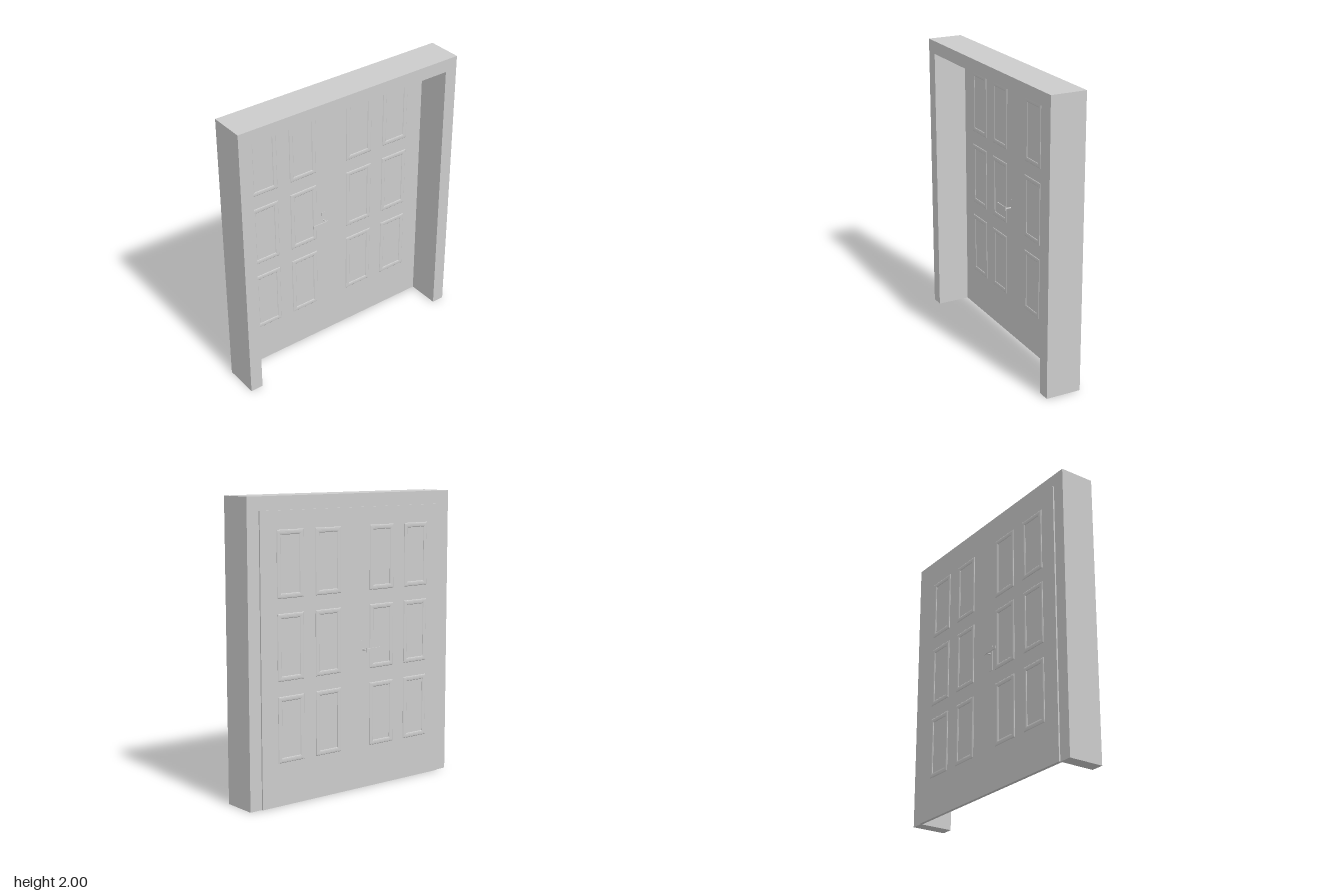
import * as THREE from 'three';

const mat = new THREE.MeshStandardMaterial({ color: 0xcccccc, flatShading: true });
const FRONT = -0.083, BACK = -0.105; // door leaf faces

function add(parent, name, geo, x = 0, y = 0, z = 0) {
  const m = new THREE.Mesh(geo, mat);
  m.name = name;
  m.position.set(x, y, z);
  parent.add(m);
  return m;
}

function rect(Type, w, h) {
  return new Type([[-w, -h], [w, -h], [w, h], [-w, h]].map(([x, y]) => new THREE.Vector2(x / 2, y / 2)));
}

// Raised rectangular moulding with sloped inner and outer edges
function mouldingGeometry(w, h, band, slope, height) {
  const shape = rect(THREE.Shape, w - 2 * slope, h - 2 * slope);
  const inset = 2 * (band - slope);
  shape.holes.push(rect(THREE.Path, w - inset, h - inset));
  return new THREE.ExtrudeGeometry(shape, {
    depth: 0.001, bevelEnabled: true, bevelSize: slope, bevelThickness: height, bevelSegments: 2,
  });
}

// Fittings for one face, built facing +z; dir is the lever direction in x
function buildHandle(dir) {
  const g = new THREE.Group();
  g.name = 'handle';
  add(g, 'handlePlate', new THREE.BoxGeometry(0.034, 0.18, 0.002), 0, -0.03, 0.001);
  // neck flaring where it meets the lever
  const neck = new THREE.LatheGeometry(
    [[0.007, 0], [0.005, 0.006], [0.005, 0.032], [0.008, 0.038], [0.012, 0.043]].map(p => new THREE.Vector2(...p)), 16);
  neck.rotateX(Math.PI / 2);
  add(g, 'handleNeck', neck);
  // flat lever widening over the neck
  const s = new THREE.Shape();
  s.moveTo(-0.008, -0.015);
  s.lineTo(0.02, -0.011);
  s.lineTo(0.112, -0.012);
  s.lineTo(0.112, 0.012);
  s.lineTo(0.02, 0.011);
  s.lineTo(-0.008, 0.015);
  const lever = new THREE.ExtrudeGeometry(s, { depth: 0.005, bevelEnabled: false });
  if (dir < 0) lever.rotateY(Math.PI).translate(0, 0, 0.005);
  add(g, 'handleLever', lever, 0, 0, 0.042);
  return g;
}

export function createModel() {
  const root = new THREE.Group();
  root.name = 'door';

  // Surrounding frame, open at the floor
  const f = new THREE.Shape();
  [[-0.855, 0], [-0.765, 0], [-0.765, 1.91], [0.765, 1.91], [0.765, 0], [0.855, 0], [0.855, 2], [-0.855, 2]]
    .forEach(([x, y], i) => (i ? f.lineTo(x, y) : f.moveTo(x, y)));
  add(root, 'frame', new THREE.ExtrudeGeometry(f, { depth: 0.245, bevelEnabled: false }), 0, 0, -0.095);

  // Door leaf, standing slightly proud of the frame at the back
  add(root, 'doorLeaf', new THREE.BoxGeometry(1.53, 1.91, FRONT - BACK), 0, 0.955, (FRONT + BACK) / 2);

  // Twelve panel mouldings on each face
  const moulding = mouldingGeometry(0.21, 0.435, 0.032, 0.011, 0.004);
  for (const x of [-0.538, -0.231, 0.228, 0.535]) {
    for (const y of [0.505, 1.04, 1.572]) {
      add(root, 'frontMoulding', moulding, x, y, FRONT - 0.001);
      add(root, 'backMoulding', moulding, x, y, BACK + 0.005 - 0.009);
    }
  }

  // Lever handles on both faces, pointing the same way
  const front = buildHandle(-1);
  front.position.set(-0.07, 0.957, FRONT);
  const back = buildHandle(1);
  back.rotation.y = Math.PI;
  back.position.set(-0.07, 0.957, BACK);
  root.add(front, back);
  return root;
}
